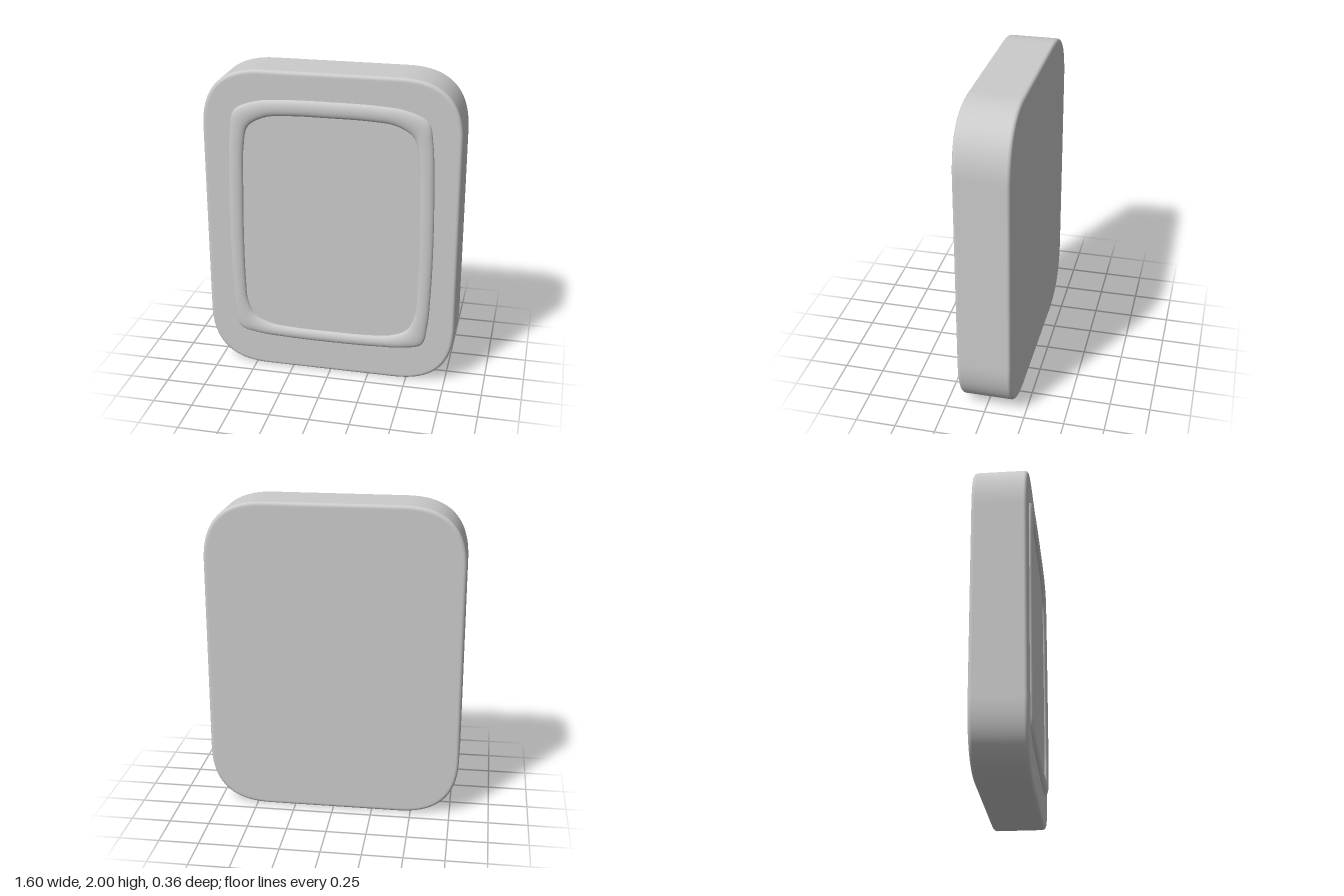
import * as THREE from 'three';

const V = (x, y, z) => new THREE.Vector3(x, y, z);

// Skin a list of equally sized closed loops (clockwise from the front)
function loft(loops, name) {
  const n = loops[0].length, index = [];
  for (let j = 0; j < loops.length - 1; j++) {
    for (let i = 0; i < n; i++) {
      const k = (i + 1) % n;
      const a = j * n + i, b = j * n + k, c = a + n, d = b + n;
      index.push(a, c, b, b, c, d);
    }
  }
  const geo = new THREE.BufferGeometry().setFromPoints(loops.flat());
  geo.setIndex(index);
  geo.computeVertexNormals();
  const mesh = new THREE.Mesh(geo, new THREE.MeshStandardMaterial({ color: 0xcccccc }));
  mesh.name = name;
  return mesh;
}

// Soft-cornered rectangle, shrunk by an inset, at depth z
function slabLoop(inset, z) {
  const w = 0.8 - inset, h = 1 - inset, r = 0.38 - inset, q = r * (1 - 0.67);
  const s = new THREE.Path();
  s.moveTo(w - r, h);
  s.bezierCurveTo(w - q, h, w, h - q, w, h - r);
  s.lineTo(w, r - h);
  s.bezierCurveTo(w, q - h, w - q, -h, w - r, -h);
  s.lineTo(r - w, -h);
  s.bezierCurveTo(q - w, -h, -w, q - h, -w, r - h);
  s.lineTo(-w, h - r);
  s.bezierCurveTo(-w, h - q, q - w, h, r - w, h);
  return s.getPoints(20).map(p => V(p.x, p.y + 1, z));
}

// Mirror a right-hand half outline and smooth it into a closed loop
function mirroredLoop(half) {
  const left = half.slice(1, -1).reverse().map(([x, y]) => [-x, y]);
  const curve = new THREE.CatmullRomCurve3([...half, ...left].map(([x, y]) => V(x, y, 0)), true);
  return Array.from({ length: 192 }, (_, i) => curve.getPoint(i / 192));
}

export function createModel() {
  const group = new THREE.Group();
  const back = -0.178, front = 0.155, bevel = 0.022, steps = 6;

  // Slab with rounded edges and flat front and back
  const loops = [];
  const edge = [];
  for (let i = 0; i <= steps; i++) {
    const a = (i / steps) * Math.PI / 2;
    edge.push([bevel * (1 - Math.sin(a)), bevel * (1 - Math.cos(a))]);
  }
  const centre = z => slabLoop(0, z).map(() => V(0, 1, z));
  loops.push(centre(back), slabLoop(bevel + 0.01, back));
  edge.forEach(([inset, dz]) => loops.push(slabLoop(inset, back + dz)));
  edge.reverse().forEach(([inset, dz]) => loops.push(slabLoop(inset, front - dz)));
  loops.push(slabLoop(bevel + 0.01, front), centre(front));
  group.add(loft(loops, 'slab'));

  // Raised rounded frame, slightly bowed on every side
  const outer = mirroredLoop([[0, 1.83], [0.3, 1.825], [0.47, 1.805], [0.595, 1.745], [0.625, 1.62],
    [0.643, 1.3], [0.649, 0.9], [0.643, 0.6], [0.63, 0.4], [0.597, 0.265], [0.48, 0.23], [0.3, 0.218], [0, 0.213]]);
  const inner = mirroredLoop([[0, 1.73], [0.25, 1.727], [0.4, 1.71], [0.51, 1.645], [0.54, 1.52],
    [0.553, 1.2], [0.559, 0.9], [0.556, 0.6], [0.545, 0.46], [0.5, 0.36], [0.4, 0.31], [0.25, 0.293], [0, 0.29]]);
  const ring = [];
  for (let j = 0; j <= 16; j++) {
    const a = (j / 16) * Math.PI;
    const t = (1 - Math.cos(a)) / 2, z = front - 0.001 + 0.024 * Math.sin(a);
    ring.push(outer.map((p, i) => p.clone().lerp(inner[i], t).setZ(z)));
  }
  group.add(loft(ring, 'raisedFrame'));

  return group;
}
